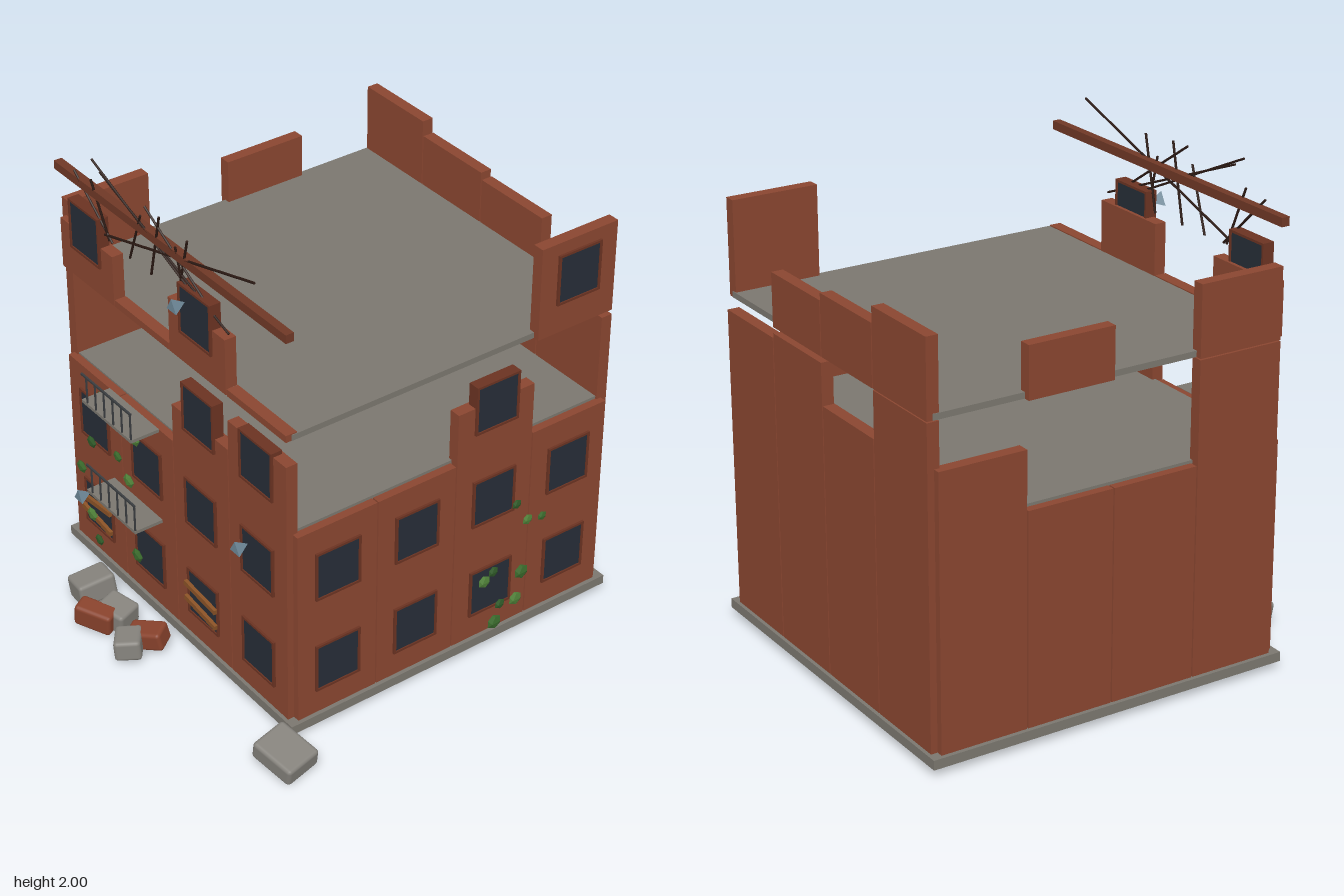
import * as THREE from 'three';
import { RoundedBoxGeometry } from 'three/addons/geometries/RoundedBoxGeometry.js';

const mat = (color, flatShading = false) => {
  const m = new THREE.MeshStandardMaterial({ color });
  m.flatShading = flatShading;
  return m;
};
const BRICK = mat(0x8a4630), FRAME = mat(0x6b3322), GLASS = mat(0x262d37), CONCRETE = mat(0x7b776f);
const IRON = mat(0x3a3d40), BOARD = mat(0x8a5226), ROD = mat(0x2c1a14), BEAM = mat(0x6f3826);
const LEAVES = [mat(0x2f5a28, true), mat(0x4f8038, true), mat(0x3a6a2c, true)];
const SHARD = mat(0x6d8797, true), RUBBLE = mat(0x85827c), BRICK_RUBBLE = mat(0x88422c);

const CX = -0.108, CZ = -0.15;       // centre of the building
const HALF = 0.75, STEP = 0.375;     // wall plane distance, bay width
const BASE = 0.08, ROOF = 1.385;

function add(parent, name, geometry, material, x = 0, y = 0, z = 0) {
  const mesh = new THREE.Mesh(geometry, material);
  mesh.name = name;
  mesh.position.set(x, y, z);
  parent.add(mesh);
  return mesh;
}
const box = (parent, name, m, w, h, d, x, y, z) =>
  add(parent, name, new THREE.BoxGeometry(w, h, d), m, x, y, z);

// thin round bar between two points
function bar(parent, name, m, a, b, r) {
  const from = new THREE.Vector3(...a), to = new THREE.Vector3(...b);
  const mesh = add(parent, name, new THREE.CylinderGeometry(r, r, from.distanceTo(to), 6), m);
  mesh.position.copy(from).lerp(to, 0.5);
  mesh.quaternion.setFromUnitVectors(new THREE.Vector3(0, 1, 0), to.sub(from).normalize());
  return mesh;
}

// one facade, built facing +z; bays run along local x
function facade(name, angle, lower, upper, windows) {
  const g = new THREE.Group();
  g.name = name;
  g.position.set(CX, 0, CZ);
  g.rotation.y = angle;
  const bayX = i => (i - 1.5) * STEP;
  const panel = (i, y0, y1) =>
    box(g, 'wallPanel', BRICK, STEP - 0.006, y1 - y0, 0.05, bayX(i), (y0 + y1) / 2, HALF);
  lower.forEach((top, i) => panel(i, BASE, top));
  upper.forEach((top, i) => top && panel(i, ROOF, top));
  windows.forEach((bays, floor) => bays.forEach(i => {
    const y = 0.3 + floor * 0.441;
    for (const s of [-1, 1]) {
      box(g, 'windowFrame', FRAME, 0.01, 0.22, 0.05, bayX(i) + s * 0.1, y, HALF + 0.01);
      box(g, 'windowFrame', FRAME, 0.21, 0.01, 0.05, bayX(i), y + s * 0.105, HALF + 0.01);
    }
    box(g, 'windowPane', GLASS, 0.194, 0.204, 0.04, bayX(i), y, HALF + 0.01);
  }));
  return g;
}

function balcony(y) {
  const g = new THREE.Group();
  g.name = 'balcony';
  g.position.set(-0.377, y, 0.625);
  box(g, 'balconyFloor', CONCRETE, 0.35, 0.014, 0.13, 0, 0, 0.065);
  box(g, 'handrail', IRON, 0.35, 0.008, 0.008, 0, 0.127, 0.126);
  for (let i = 0; i < 6; i++)
    box(g, 'baluster', IRON, 0.006, 0.127, 0.006, -0.14 + i * 0.062, 0.063, 0.126);
  return g;
}

export function createModel() {
  const model = new THREE.Group();
  model.name = 'ruinedBuilding';

  // slabs
  box(model, 'foundation', CONCRETE, 1.585, 0.04, 1.58, CX, 0.06, CZ);
  box(model, 'upperFloor', CONCRETE, 1.48, 0.02, 1.48, CX, 0.962, CZ);
  box(model, 'roofSlab', CONCRETE, 1.5, 0.025, 1.5, CX, 1.398, CZ);

  // broken walls: tops of each bay below and above the roof slab, windows per floor
  const all = [0, 1, 2, 3];
  model.add(
    facade('frontWall', 0, [0.965, 0.965, 1.14, 1.275], [1.605, 1.415, 1.625, 1.415], [all, all, [2, 3], [0, 2]]),
    facade('leftWall', Math.PI / 2, [0.96, 0.96, 1.195, 0.96], [0, 0, 0, 1.785], [all, all, [2], [3]]),
    facade('backWall', Math.PI, [1.34, 1.36, 1.19, 1.38], [0, 1.605, 1.635, 1.7], []),
    facade('rightWall', -Math.PI / 2, [1.2, 0.96, 0.96, 1.38], [0, 1.595, 0, 1.675], [])
  );

  model.add(balcony(0.522), balcony(0.96));

  // boarded ground-floor windows
  for (const [x, y, tilt] of [[-0.67, 0.332, 0.1], [-0.67, 0.257, -0.14], [0.082, 0.332, -0.1], [0.082, 0.257, -0.13]])
    box(model, 'windowBoard', BOARD, 0.21, 0.022, 0.015, x, y, 0.645).rotation.z = tilt;

  // exposed roof beam and bent reinforcing rods
  box(model, 'roofBeam', BEAM, 1.52, 0.036, 0.035, -0.105, 1.838, 0.615);
  const rods = [
    [-0.57, 2.0, 0.01, 1.73], [0.48, 1.985, -0.55, 1.67], [-0.52, 1.965, 0.27, 1.65],
    [-0.72, 1.88, -0.5, 1.655], [-0.6, 1.895, -0.52, 1.655], [-0.26, 1.9, -0.38, 1.65],
    [-0.125, 1.96, -0.235, 1.65], [-0.22, 1.96, 0.19, 1.68], [0.055, 1.945, -0.055, 1.65],
    [-0.035, 1.875, -0.02, 1.75]
  ];
  const rodZ = y => 0.61 + (y - 1.65) * 0.09;
  for (const [x0, y0, x1, y1] of rods)
    bar(model, 'reinforcingRod', ROD, [x0, y0, rodZ(y0)], [x1, y1, rodZ(y1)], 0.005);

  // glass shards sticking out of the front
  for (const [x, y] of [[-0.73, 0.355], [0.025, 1.67], [0.402, 0.79]]) {
    const shard = new THREE.ConeGeometry(0.036, 0.06, 3);
    shard.rotateX(-Math.PI / 2);
    shard.rotateZ(Math.PI);
    // turn one corner of the triangle upward
    const p = shard.attributes.position;
    let corner = 0;
    for (let i = 0; i < p.count; i++) if (Math.hypot(p.getX(i), p.getY(i)) > 0.03) { corner = i; break; }
    shard.rotateZ(Math.PI / 2 - Math.atan2(p.getY(corner), p.getX(corner)));
    add(model, 'glassShard', shard, SHARD, x, y, 0.665);
  }

  // ivy clumps: [across, height, radius] on the front and the left side
  const ivyFront = [[-0.58, 0.915, 0.03], [-0.345, 0.85, 0.035], [-0.475, 0.69, 0.027], [-0.67, 0.65, 0.03],
    [-0.4, 0.615, 0.034], [-0.76, 0.475, 0.032], [-0.525, 0.405, 0.035], [-0.695, 0.27, 0.034],
    [-0.36, 0.265, 0.034], [-0.65, 0.165, 0.028]];
  const ivySide = [[-0.445, 0.665, 0.024], [-0.505, 0.565, 0.026], [-0.58, 0.55, 0.023], [-0.34, 0.38, 0.026],
    [-0.295, 0.35, 0.032], [-0.485, 0.315, 0.037], [-0.38, 0.2, 0.026], [-0.46, 0.19, 0.034], [-0.355, 0.12, 0.037]];
  [ivyFront, ivySide].forEach((list, side) => list.forEach(([u, y, r], i) => {
    const leaf = add(model, 'ivyClump', new THREE.IcosahedronGeometry(r, 0), LEAVES[i % 3]);
    if (side) {
      leaf.position.set(0.687, y, u);
      leaf.scale.set(0.4, 0.9, 1);
    } else {
      leaf.position.set(u, y, 0.652);
      leaf.scale.set(1, 0.9, 0.4);
    }
  }));

  // rubble: [x, y, z, width, height, depth, turn, tilt, material]
  const rubble = [
    [-0.52, 0.07, 0.775, 0.125, 0.105, 0.165, -0.1, 0.1, RUBBLE],
    [-0.31, 0.07, 0.79, 0.14, 0.1, 0.12, 0.3, -0.15, RUBBLE],
    [-0.34, 0.072, 0.872, 0.165, 0.1, 0.085, 0.5, -0.15, BRICK_RUBBLE],
    [-0.11, 0.075, 0.775, 0.155, 0.085, 0.1, 0.6, 0.15, BRICK_RUBBLE],
    [-0.12, 0.07, 0.86, 0.13, 0.09, 0.11, -0.65, 0.1, RUBBLE],
    [0.782, 0.075, 0.742, 0.2, 0.085, 0.165, 0.17, -0.22, RUBBLE]
  ];
  for (const [x, y, z, w, h, d, turn, tilt, m] of rubble)
    add(model, 'rubbleBlock', new RoundedBoxGeometry(w, h, d, 2, 0.016), m, x, y, z).rotation.set(0.1, turn, tilt);

  return model;
}
